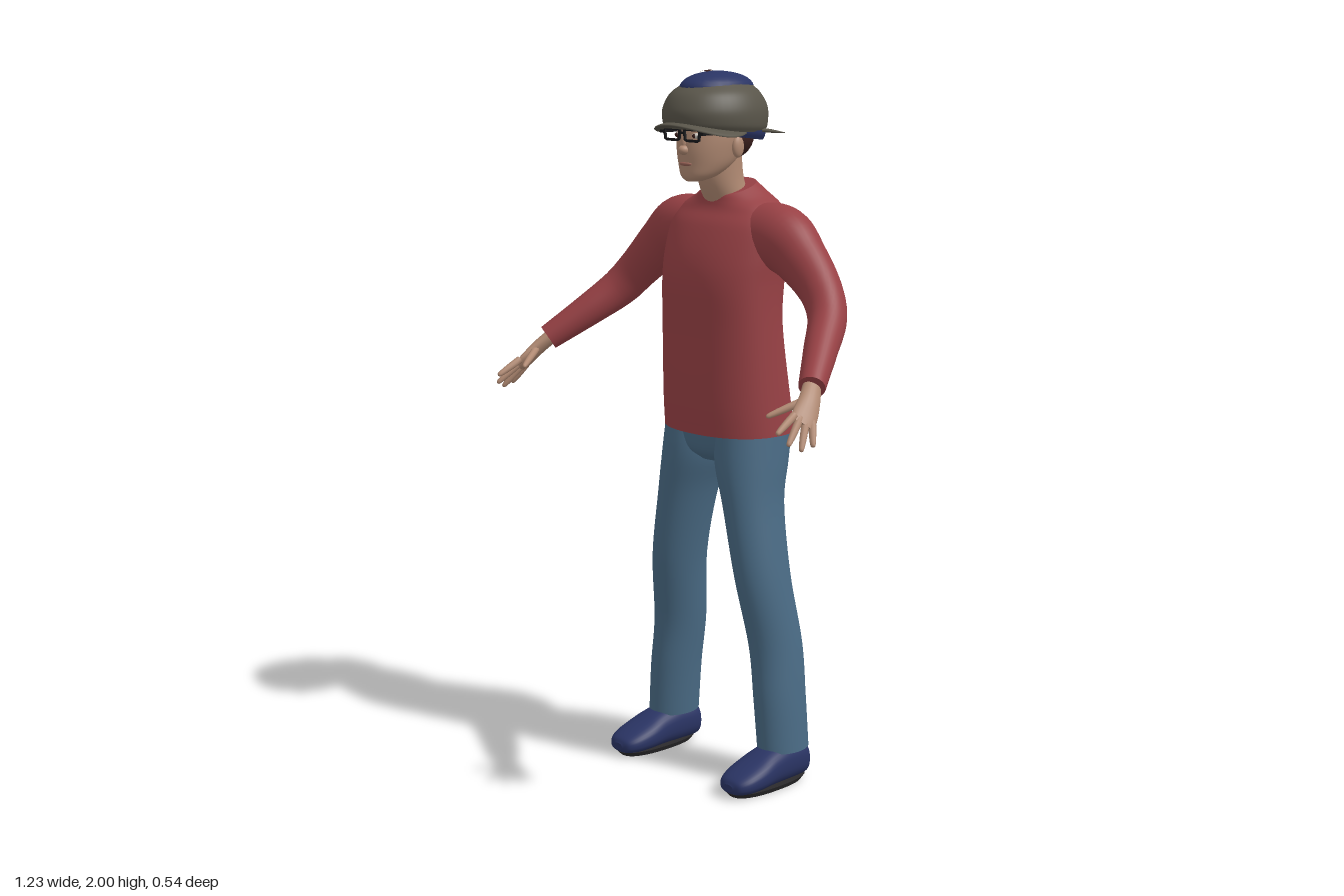
import * as THREE from 'three';

const V = (x, y, z) => new THREE.Vector3(x, y, z);
const X = V(1, 0, 0), Y = V(0, 1, 0), Z = V(0, 0, 1);

const mat = (name, color) => {
  const m = new THREE.MeshStandardMaterial({ color });
  m.name = name;
  return m;
};

// Smooth loft through rows [x, y, z, halfWidth, halfDepth, tilt].
// With an axis, all sections stay square to it; otherwise they follow the path.
function loft(rows, { ref = Z, axis = null, power = 2, sides = 32, steps = 6 } = {}) {
  const path = new THREE.CatmullRomCurve3(rows.map(r => V(r[0], r[1], r[2])), false, 'catmullrom', 0.5);
  const size = new THREE.CatmullRomCurve3(rows.map(r => V(r[3], r[4], r[5] || 0)), false, 'catmullrom', 0.5);
  const n = (rows.length - 1) * steps, pos = [], idx = [];
  const round = c => Math.sign(c) * Math.pow(Math.abs(c), 2 / power);
  for (let i = 0; i <= n; i++) {
    const c = path.getPoint(i / n), s = size.getPoint(i / n);
    const t = axis || path.getTangent(i / n);
    const u = ref.clone().cross(t).normalize(), v = t.clone().cross(u);
    for (let j = 0; j < sides; j++) {
      const a = (j / sides) * Math.PI * 2;
      const p = c.clone().addScaledVector(u, s.x * round(Math.cos(a))).addScaledVector(v, s.y * round(Math.sin(a)));
      pos.push(p.x, p.y + s.z * (p.z - c.z), p.z);
    }
  }
  for (let i = 0; i < n; i++) for (let j = 0; j < sides; j++) {
    const k = (j + 1) % sides, a = i * sides + j, b = i * sides + k;
    idx.push(a, b, a + sides, b, b + sides, a + sides);
  }
  // end caps with their own vertices, so the rims stay sharp
  for (const end of [0, n]) {
    const start = pos.length / 3, c = path.getPoint(end / n);
    pos.push(...pos.slice(end * sides * 3, (end + 1) * sides * 3), c.x, c.y, c.z);
    for (let j = 0; j < sides; j++) {
      const a = start + j, b = start + (j + 1) % sides;
      idx.push(start + sides, end ? a : b, end ? b : a);
    }
  }
  const g = new THREE.BufferGeometry();
  g.setAttribute('position', new THREE.Float32BufferAttribute(pos, 3));
  g.setIndex(idx);
  g.computeVertexNormals();
  return g;
}

export function createModel() {
  const model = new THREE.Group();
  const shirt = mat('red shirt', 0x984145), jeans = mat('blue denim', 0x4a6b85);
  const navy = mat('navy', 0x2a3464), hat = mat('olive grey', 0x59554a);
  const skin = mat('skin', 0xb18a73), hair = mat('dark brown hair', 0x3b201d);
  const black = mat('black frame', 0x17171a), sole = mat('dark sole', 0x2b2a2c);
  const white = mat('eye white', 0xc9c2ba), lip = mat('lip', 0x9a6458);

  const add = (name, geometry, material, parent = model) => {
    const m = new THREE.Mesh(geometry, material);
    m.name = name;
    parent.add(m);
    return m;
  };
  const ball = (name, material, p, r) => {
    const m = add(name, new THREE.SphereGeometry(1, 24, 16), material);
    m.position.set(...p);
    m.scale.set(...r);
    return m;
  };
  const upright = { axis: Y };

  // Shirt body, with a neckline lower at the front
  add('shirtBody', loft([
    [0, 1.0, -0.118, 0.2, 0.152], [0, 1.1, -0.105, 0.196, 0.145], [0, 1.3, -0.088, 0.19, 0.13],
    [0, 1.42, -0.09, 0.19, 0.134], [0, 1.5, -0.103, 0.195, 0.132], [0, 1.58, -0.118, 0.195, 0.113],
    [0, 1.63, -0.125, 0.165, 0.092, -0.1], [0, 1.66, -0.12, 0.115, 0.078, -0.2],
    [0, 1.682, -0.112, 0.08, 0.068, -0.3],
  ], { ...upright, power: 2.3, sides: 48 }), shirt);

  // Hips
  add('hips', loft([
    [0, 0.915, -0.1, 0.06, 0.07], [0, 0.95, -0.107, 0.14, 0.108], [0, 1.03, -0.118, 0.19, 0.132],
  ], { ...upright, power: 2.2 }), jeans);

  for (const s of [1, -1]) {
    const side = s > 0 ? 'left' : 'right';
    const mirror = rows => rows.map(([x, ...rest]) => [s * x, ...rest]);

    // Trouser leg
    add(side + 'Leg', loft(mirror([
      [0.228, 0.1, -0.112, 0.064, 0.082], [0.215, 0.25, -0.11, 0.066, 0.083],
      [0.197, 0.4, -0.11, 0.068, 0.084], [0.17, 0.6, -0.083, 0.07, 0.088],
      [0.133, 0.8, -0.083, 0.077, 0.096], [0.108, 0.92, -0.1, 0.093, 0.115],
      [0.1, 1.03, -0.118, 0.093, 0.125],
    ]), upright), jeans);

    // Shoe and sole
    add(side + 'Shoe', loft(mirror([
      [0.226, 0.05, -0.19, 0.03, 0.035], [0.226, 0.06, -0.17, 0.05, 0.053],
      [0.228, 0.064, -0.1, 0.056, 0.058], [0.23, 0.06, -0.04, 0.059, 0.053],
      [0.231, 0.049, 0.02, 0.064, 0.042], [0.232, 0.04, 0.07, 0.058, 0.032],
      [0.232, 0.035, 0.1, 0.042, 0.022], [0.232, 0.033, 0.111, 0.018, 0.01],
    ]), { axis: Z, ref: Y, power: 2.4 }), navy);
    add(side + 'Sole', loft(mirror([
      [0.23, 0, -0.04, 0.05, 0.13], [0.23, 0.014, -0.04, 0.057, 0.144],
    ]), { ...upright, power: 2.4, steps: 1 }), sole);

    // Sleeve
    add(side + 'Sleeve', loft(mirror([
      [0.1, 1.56, -0.125, 0.085, 0.085], [0.2, 1.548, -0.125, 0.084, 0.093],
      [0.28, 1.497, -0.12, 0.068, 0.076], [0.36, 1.425, -0.108, 0.058, 0.062],
      [0.415, 1.36, -0.075, 0.053, 0.056], [0.468, 1.293, 0.005, 0.046, 0.047],
      [0.532, 1.215, 0.105, 0.036, 0.037],
    ]), { ref: Y }), shirt);

    // Hand: palm, four fingers and a thumb
    const hand = new THREE.Group();
    hand.name = side + 'Hand';
    model.add(hand);
    add('palm', loft(mirror([
      [0.522, 1.225, 0.092, 0.024, 0.02], [0.548, 1.187, 0.13, 0.03, 0.018],
      [0.564, 1.153, 0.163, 0.036, 0.014], [0.573, 1.133, 0.186, 0.033, 0.01],
    ]), { ref: V(s * 0.73, 0.6, 0.1), sides: 20 }), skin, hand);
    const tips = [[0.565, 1.118, 0.268], [0.59, 1.09, 0.252], [0.605, 1.073, 0.22], [0.611, 1.08, 0.182]];
    const digit = (name, a, b) => {
      const at = (t, r) => [...a.map((q, i) => q + (b[i] - q) * t), r, r];
      add(name, loft(mirror([at(0, 0.011), at(0.5, 0.01), at(0.92, 0.007), at(1, 0.002)]),
        { ref: X, sides: 10, steps: 3 }), skin, hand);
    };
    tips.forEach((tip, i) => {
      const k = (i - 1.5) * 0.018;
      digit('finger' + (i + 1), [0.567 + 0.4 * k, 1.147 - 0.36 * k, 0.173 - 0.8 * k], tip);
    });
    digit('thumb', [0.54, 1.185, 0.145], [0.492, 1.148, 0.232]);

    // Ear, eye and spectacle side
    ball(side + 'Ear', skin, [s * 0.087, 1.798, -0.062], [0.012, 0.03, 0.02]);
    ball(side + 'Eye', white, [s * 0.034, 1.83, 0.043], [0.015, 0.008, 0.012]);
    ball(side + 'Pupil', hair, [s * 0.034, 1.83, 0.053], [0.006, 0.006, 0.004]);
    const rim = new THREE.Shape([[-0.034, 0.017], [-0.03, -0.014], [-0.02, -0.019], [0.02, -0.019], [0.03, -0.014], [0.034, 0.017]]
      .map(p => new THREE.Vector2(...p)));
    rim.holes.push(new THREE.Path([[-0.027, 0.011], [0.027, 0.011], [0.024, -0.012], [-0.024, -0.012]]
      .map(p => new THREE.Vector2(...p))));
    add(side + 'Rim', new THREE.ExtrudeGeometry(rim, { depth: 0.006, bevelEnabled: false }), black)
      .position.set(s * 0.039, 1.833, 0.062);
    add(side + 'Temple', new THREE.BoxGeometry(0.005, 0.008, 0.13), black).position.set(s * 0.083, 1.838, 0.0);
    add(side + 'Hinge', new THREE.BoxGeometry(0.016, 0.008, 0.006), black).position.set(s * 0.077, 1.838, 0.065);
  }
  add('bridge', new THREE.BoxGeometry(0.014, 0.006, 0.006), black).position.set(0, 1.838, 0.066);

  // Neck, head and face
  add('neck', loft([
    [0, 1.63, -0.115, 0.066, 0.066], [0, 1.7, -0.083, 0.06, 0.068], [0, 1.78, -0.07, 0.06, 0.07],
  ], upright), skin);
  add('head', loft([
    [0, 1.705, 0.018, 0.022, 0.026], [0, 1.72, 0, 0.05, 0.053], [0, 1.75, -0.025, 0.07, 0.081],
    [0, 1.79, -0.04, 0.081, 0.1], [0, 1.83, -0.052, 0.086, 0.11], [0, 1.88, -0.057, 0.083, 0.108],
  ], upright), skin);
  ball('nose', skin, [0, 1.791, 0.057], [0.016, 0.014, 0.019]);
  ball('noseBridge', skin, [0, 1.812, 0.052], [0.009, 0.025, 0.014]);
  ball('lips', lip, [0, 1.753, 0.052], [0.024, 0.006, 0.008]);
  ball('hair', hair, [0, 1.822, -0.09], [0.088, 0.07, 0.082]);

  // Hat: headband, body, peak, crown
  add('headband', loft([
    [0, 1.822, -0.08, 0.112, 0.122, 0.12], [0, 1.838, -0.08, 0.12, 0.127, 0.12], [0, 1.862, -0.08, 0.12, 0.127, 0.12],
  ], upright), navy);
  add('hatBody', loft([
    [0, 1.84, -0.06, 0.122, 0.148, 0.06], [0, 1.86, -0.06, 0.131, 0.156, 0.05], [0, 1.9, -0.06, 0.13, 0.157],
    [0, 1.94, -0.06, 0.112, 0.135], [0, 1.968, -0.065, 0.079, 0.1],
  ], { ...upright, sides: 48 }), hat);
  const peak = new THREE.SphereGeometry(1, 40, 16).scale(0.137, 0.012, 0.121);
  const pp = peak.attributes.position;
  for (let i = 0; i < pp.count; i++) pp.setY(i, pp.getY(i) - 1.6 * pp.getX(i) ** 2);
  peak.computeVertexNormals();
  add('hatPeak', peak, hat).position.set(0, 1.86, -0.006);
  ball('hatCrown', navy, [0, 1.955, -0.065], [0.085, 0.045, 0.117]);

  // Strands of hair lying over the crown
  const strand = (name, points) => {
    const g = new THREE.ShapeGeometry(new THREE.Shape(points.map(p => new THREE.Vector2(p[0], -p[1]))));
    g.rotateX(-Math.PI / 2);
    const p = g.attributes.position;
    for (let i = 0; i < p.count; i++) {
      const d = 1 - (p.getX(i) / 0.085) ** 2 - ((p.getZ(i) + 0.065) / 0.117) ** 2;
      p.setY(i, 1.959 + 0.045 * Math.sqrt(Math.max(d, 0)));
    }
    g.computeVertexNormals();
    add(name, g, hair);
  };
  strand('frontStrand', [[-0.075, -0.07], [-0.05, -0.065], [-0.03, -0.045], [-0.01, -0.05], [0.012, -0.04],
    [0.012, -0.015], [-0.01, -0.025], [-0.03, -0.01], [-0.055, -0.025], [-0.045, -0.04], [-0.072, -0.05]]);
  strand('backStrand', [[-0.03, -0.145], [-0.012, -0.16], [0.002, -0.155], [-0.012, -0.135]]);

  // Loose strap end behind the left side of the hat
  add('hatStrap', loft([
    [0.085, 1.842, -0.135, 0.02, 0.006], [0.12, 1.838, -0.155, 0.012, 0.005], [0.156, 1.834, -0.175, 0.001, 0.001],
  ], { ref: Y, sides: 12 }), hat);

  return model;
}
